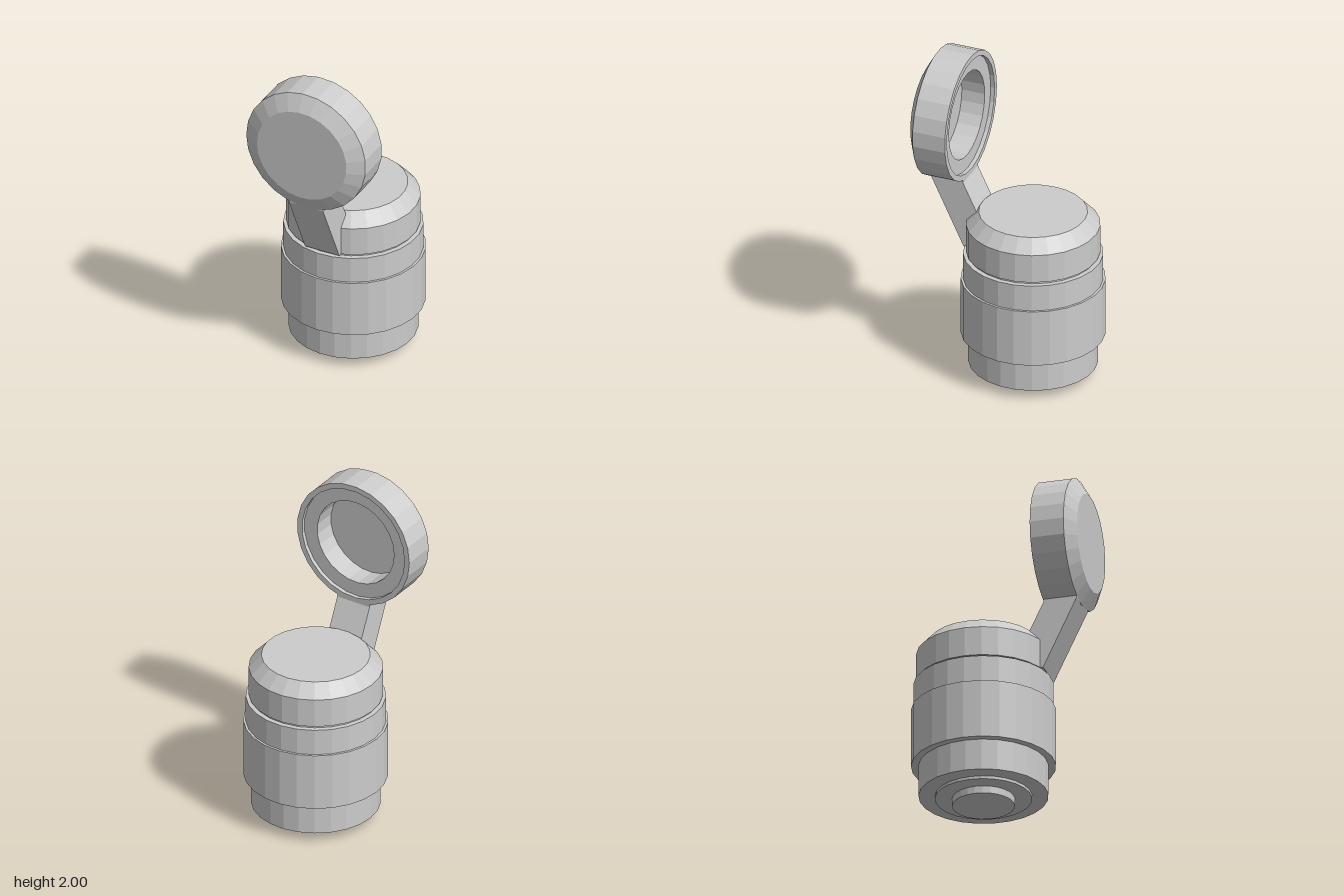
import * as THREE from 'three';

const SIDES = 25;
const BODY_Z = -0.116;

const material = new THREE.MeshStandardMaterial({ color: 0xcccccc, flatShading: true });

function addMesh(group, name, geometry) {
  const flat = geometry.index ? geometry.toNonIndexed() : geometry;
  flat.computeVertexNormals();
  const mesh = new THREE.Mesh(flat, material);
  mesh.name = name;
  group.add(mesh);
  return mesh;
}

// Faceted turned part from [radius, height] pairs, with one corner on -x
function turned(profile) {
  const points = profile.map(([r, h]) => new THREE.Vector2(r, h));
  return new THREE.LatheGeometry(points, SIDES, -Math.PI / 2);
}

export function createModel() {
  const model = new THREE.Group();
  model.name = 'flipTopContainer';

  // Stepped base, barrel and collar
  const barrel = addMesh(model, 'barrel', turned([
    [0, 0], [0.184, 0], [0.184, 0.045],
    [0.285, 0.045], [0.285, 0.063],
    [0.381, 0.063], [0.381, 0.255],
    [0.425, 0.255], [0.425, 0.615],
    [0.411, 0.615], [0.411, 0.78],
    [0.381, 0.78], [0.381, 0.795],
  ]));
  barrel.position.z = BODY_Z;

  // Closed cap with a chamfered top
  const cap = addMesh(model, 'cap', turned([
    [0.381, 0.795], [0.394, 0.795], [0.394, 0.975], [0.319, 1.055], [0, 1.055],
  ]));
  cap.position.z = BODY_Z;

  // Round lid standing upright, hollow on its back side
  const lid = addMesh(model, 'lid', turned([
    [0, 0.45], [0.27, 0.45], [0.27, 0.305],
    [0.36, 0.305], [0.36, 0.28],
    [0.394, 0.28], [0.394, 0.485], [0.295, 0.54], [0, 0.54],
  ]).rotateX(Math.PI / 2));
  lid.position.y = 1.608;

  // Slanted arm joining cap and lid, drawn in side profile (z, y)
  const side = new THREE.Shape([
    [0.28, 0.795], [0.485, 1.22], [0.485, 1.235], [0.282, 1.235],
    [0.282, 1.215], [0.197, 1.04], [0.197, 0.795],
  ].map(([z, y]) => new THREE.Vector2(z, y)));
  const halfWidth = 0.113;
  const arm = new THREE.ExtrudeGeometry(side, { depth: 2 * halfWidth, bevelEnabled: false });
  arm.rotateY(-Math.PI / 2).translate(halfWidth, 0, 0);
  addMesh(model, 'hingeArm', arm);

  return model;
}
